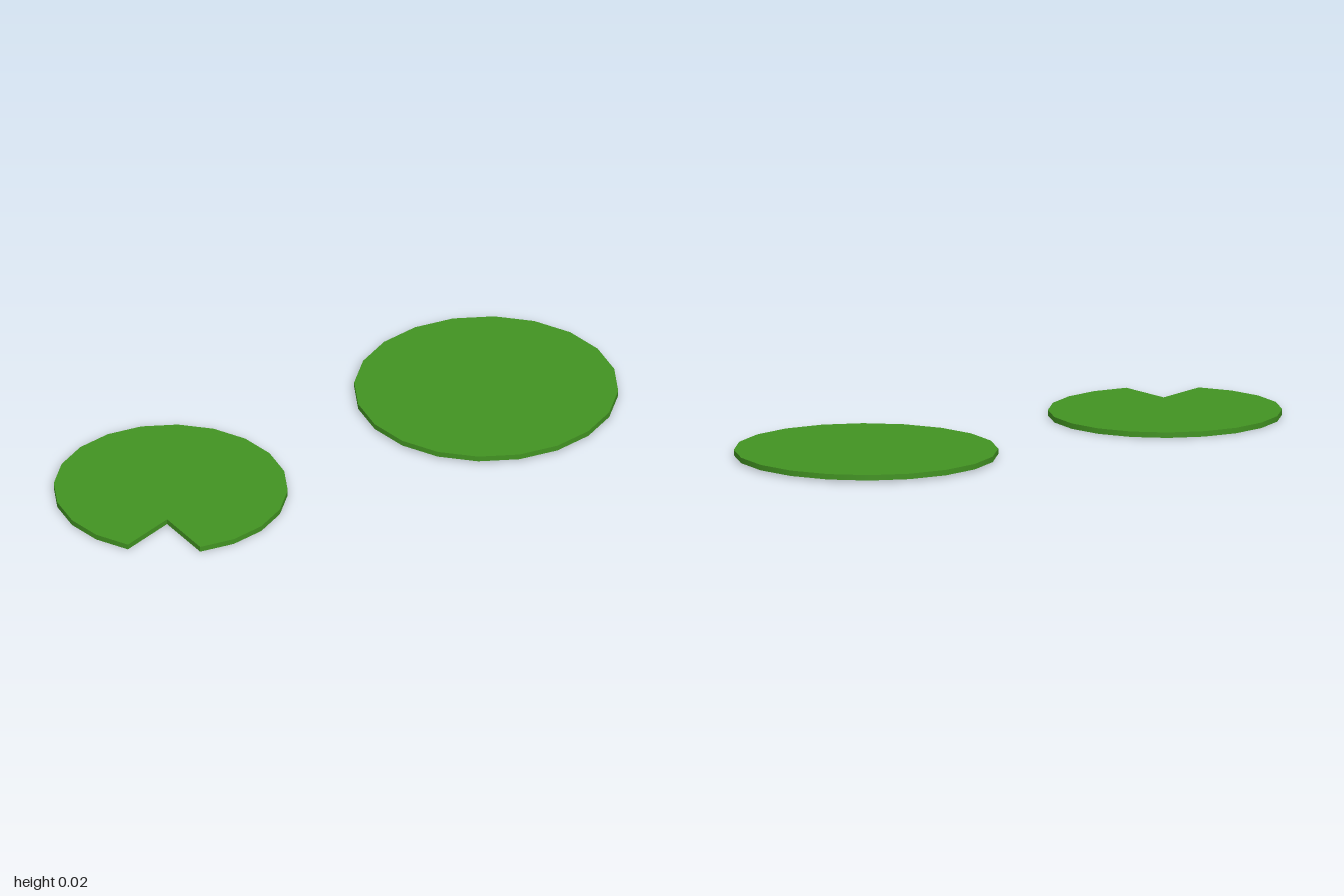
import * as THREE from 'three';
import { toCreasedNormals } from 'three/addons/utils/BufferGeometryUtils.js';

const SIDES = 20;
const THICKNESS = 0.018;

// Flat twenty-sided disc; one rim corner can be pulled inward to cut a notch
function padGeometry(radius, notch) {
  const geometry = new THREE.CylinderGeometry(radius, radius, THICKNESS, SIDES);
  if (notch) {
    const x = Math.cos(notch.angle), z = Math.sin(notch.angle);
    const pos = geometry.attributes.position;
    for (let i = 0; i < pos.count; i++) {
      const along = pos.getX(i) * x + pos.getZ(i) * z;
      if (along > radius * 0.999) {
        pos.setX(i, x * notch.depthRadius);
        pos.setZ(i, z * notch.depthRadius);
      }
    }
  }
  // Smooth rim, sharp caps and notch edges
  return toCreasedNormals(geometry, Math.PI / 6);
}

export function createModel() {
  const group = new THREE.Group();
  group.name = 'lilyPads';
  const leafGreen = new THREE.MeshStandardMaterial({ color: 0x429322 });
  leafGreen.name = 'leafGreen';

  const addPad = (name, geometry, x, bottom, z) => {
    const pad = new THREE.Mesh(geometry, leafGreen);
    pad.name = name;
    pad.position.set(x, bottom + THICKNESS / 2, z);
    group.add(pad);
  };

  // Large whole pad, floating slightly higher
  addPad('roundPad', padGeometry(0.43), 0.57, 0.006, 0);

  // Smaller pad with a wedge cut out of its front right
  const notch = { angle: THREE.MathUtils.degToRad(126), depthRadius: 0.2 };
  addPad('notchedPad', padGeometry(0.381, notch), -0.619, 0, -0.043);

  return group;
}
